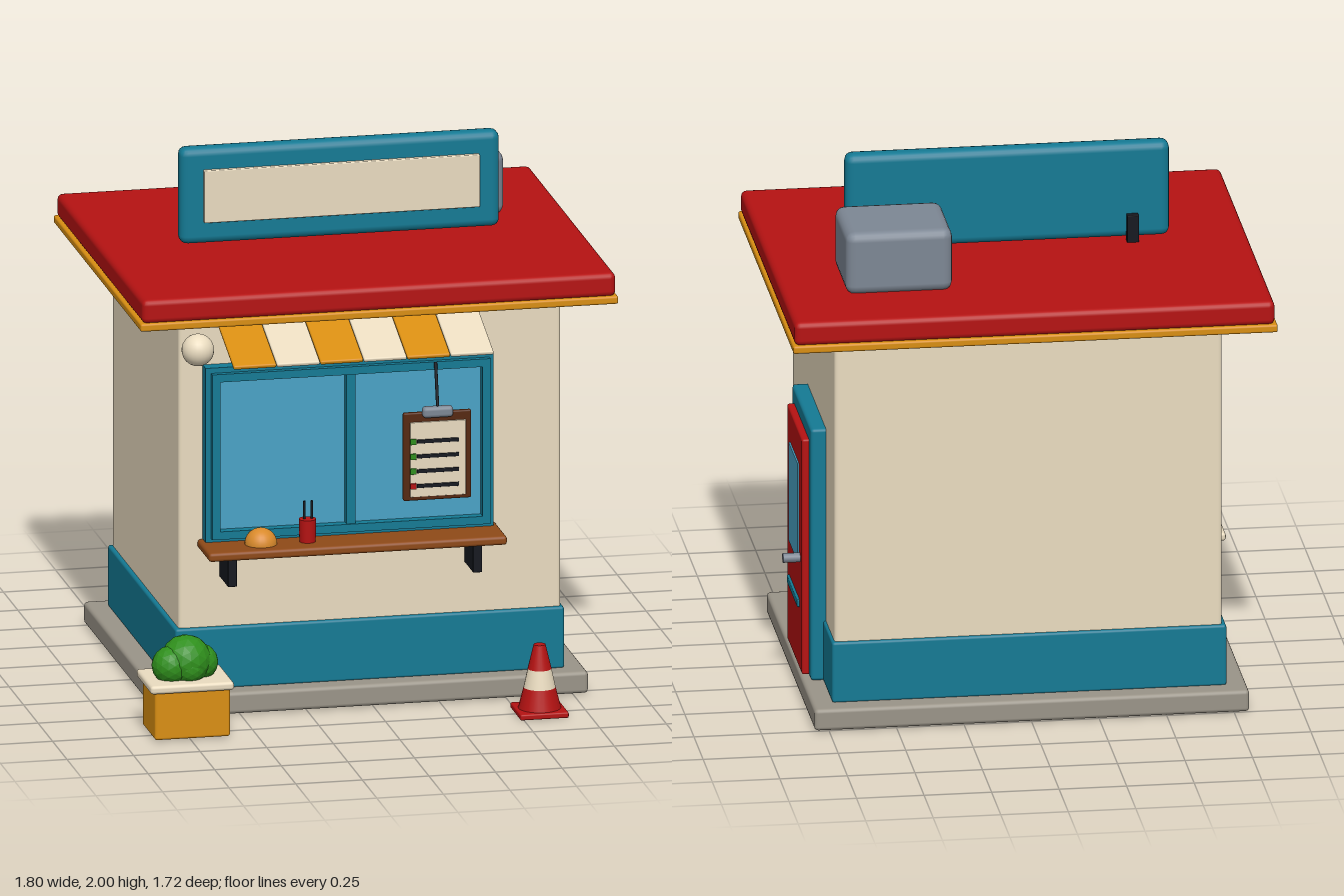
import * as THREE from 'three';
import { RoundedBoxGeometry } from 'three/addons/geometries/RoundedBoxGeometry.js';

const C = {
  red: 0xb51212, teal: 0x147a94, cream: 0xeadcc0, glass: 0x4aa3c6, gold: 0xd98e12, brown: 0x8f4a18,
  darkBrown: 0x56280f, dark: 0x15181f, stone: 0x9a9488, grey: 0x7d8794, green: 0x2f8f1c, bun: 0xd98a2b,
};
const mats = {};
function mat(name, flat = false) {
  const key = name + flat;
  return mats[key] ??= new THREE.MeshStandardMaterial({ color: C[name], flatShading: flat });
}

function add(parent, name, geometry, color, x = 0, y = 0, z = 0, flat = false) {
  const mesh = new THREE.Mesh(geometry, mat(color, flat));
  mesh.name = name;
  mesh.position.set(x, y, z);
  parent.add(mesh);
  return mesh;
}

// Softly rounded box given by its limits on each axis
function box(parent, name, color, [x0, x1], [y0, y1], [z0, z1], r = 0.008) {
  const w = x1 - x0, h = y1 - y0, d = z1 - z0;
  const radius = Math.min(r, Math.min(w, h, d) * 0.45);
  return add(parent, name, new RoundedBoxGeometry(w, h, d, 2, radius), color,
    (x0 + x1) / 2, (y0 + y1) / 2, (z0 + z1) / 2);
}

// Rectangular ring facing +z
function frame(parent, name, color, [x0, x1], [y0, y1], [z0, z1], border) {
  const rect = (P, a, b, c, d) => new P([[a, c], [b, c], [b, d], [a, d]].map((p) => new THREE.Vector2(...p)));
  const shape = rect(THREE.Shape, x0, x1, y0, y1);
  shape.holes.push(rect(THREE.Path, x0 + border, x1 - border, y0 + border, y1 - border));
  return add(parent, name, new THREE.ExtrudeGeometry(shape, { depth: z1 - z0, bevelEnabled: false }), color, 0, 0, z0);
}

// Thin round rod between two points
function rod(parent, name, color, a, b, r) {
  const p = new THREE.Vector3(...a), q = new THREE.Vector3(...b);
  const mesh = add(parent, name, new THREE.CylinderGeometry(r, r, p.distanceTo(q), 12), color);
  mesh.position.copy(p).lerp(q, 0.5);
  mesh.quaternion.setFromUnitVectors(new THREE.Vector3(0, 1, 0), q.sub(p).normalize());
  return mesh;
}

function group(parent, name) {
  const g = new THREE.Group();
  g.name = name;
  parent.add(g);
  return g;
}

export function createModel() {
  const root = new THREE.Group();
  root.name = 'kiosk';

  // Building shell
  const shell = group(root, 'building');
  box(shell, 'baseSlab', 'stone', [-0.805, 0.805], [0.005, 0.088], [-0.767, 0.555], 0.015);
  box(shell, 'walls', 'cream', [-0.715, 0.72], [0.08, 1.52], [-0.68, 0.468], 0.015);
  box(shell, 'skirting', 'teal', [-0.73, 0.73], [0.085, 0.32], [-0.692, 0.482], 0.01);
  box(shell, 'roofTrim', 'gold', [-0.897, 0.897], [1.51, 1.54], [-0.862, 0.65]);
  box(shell, 'roof', 'red', [-0.888, 0.89], [1.535, 1.626], [-0.853, 0.642], 0.022);

  // Roof sign and cooling unit
  const sign = group(root, 'roofSign');
  box(sign, 'signBoard', 'teal', [-0.6, 0.6], [1.635, 2], [-0.105, -0.026], 0.03);
  box(sign, 'signPanel', 'cream', [-0.515, 0.52], [1.72, 1.92], [-0.04, -0.008], 0.004);
  for (const x of [-0.46, 0.46]) box(sign, 'signPost', 'dark', [x - 0.022, x + 0.022], [1.61, 1.73], [-0.132, -0.09], 0.003);
  box(root, 'coolingUnit', 'grey', [0.265, 0.66], [1.62, 1.86], [-0.565, -0.225], 0.035);

  // Serving window
  const win = group(root, 'servingWindow');
  frame(win, 'outerFrame', 'teal', [-0.625, 0.455], [0.65, 1.32], [0.46, 0.52], 0.04);
  frame(win, 'sash', 'teal', [-0.605, 0.44], [0.67, 1.3], [0.46, 0.542], 0.03);
  box(win, 'glass', 'glass', [-0.59, 0.425], [0.68, 1.29], [0.46, 0.505], 0.002);
  box(win, 'mullion', 'teal', [-0.1, -0.065], [0.68, 1.29], [0.48, 0.535], 0.004);

  // Counter with brackets
  const counter = group(root, 'counter');
  box(counter, 'shelf', 'brown', [-0.645, 0.475], [0.622, 0.656], [0.46, 0.672], 0.012);
  for (const x of [-0.545, 0.375]) box(counter, 'bracket', 'dark', [x - 0.017, x + 0.017], [0.508, 0.625], [0.46, 0.615], 0.003);
  add(counter, 'bun', new THREE.SphereGeometry(0.06, 24, 12, 0, Math.PI * 2, 0, Math.PI / 2), 'bun', -0.43, 0.656, 0.575);
  add(counter, 'cup', new THREE.CylinderGeometry(0.032, 0.03, 0.088, 20), 'red', -0.256, 0.698, 0.58);
  for (const x of [-0.268, -0.24]) rod(counter, 'stick', 'dark', [x, 0.7, 0.58], [x, 0.81, 0.58], 0.005);

  // Hanging clipboard
  const clip = group(root, 'clipboard');
  box(clip, 'board', 'darkBrown', [0.105, 0.36], [0.785, 1.12], [0.558, 0.578], 0.006);
  box(clip, 'paper', 'cream', [0.13, 0.338], [0.8, 1.085], [0.574, 0.583], 0.002);
  box(clip, 'clasp', 'grey', [0.175, 0.29], [1.1, 1.142], [0.56, 0.597], 0.014);
  rod(clip, 'cord', 'dark', [0.233, 1.3, 0.542], [0.233, 1.13, 0.58], 0.006);
  for (let i = 0; i < 4; i++) {
    const y = 1.012 - i * 0.0565;
    box(clip, 'menuLine', 'dark', [0.155, 0.312], [y - 0.007, y + 0.007], [0.58, 0.588], 0.001);
    box(clip, 'menuBullet', i < 3 ? 'green' : 'red', [0.129, 0.151], [y - 0.011, y + 0.011], [0.58, 0.59], 0.001);
  }

  // Striped awning sloping forward
  const awning = group(root, 'awning');
  awning.position.set(0, 1.43, 0.63);
  awning.rotation.x = Math.atan2(0.09, 0.27);
  for (let i = 0; i < 6; i++) {
    const x = -0.573 + i * 0.163;
    box(awning, 'awningStripe', i % 2 ? 'cream' : 'gold', [x, x + 0.161], [-0.008, 0.008], [-0.143, 0.143], 0.006);
  }
  add(root, 'lamp', new THREE.SphereGeometry(0.06, 24, 16), 'cream', -0.66, 1.4, 0.545);
  rod(root, 'lampMount', 'cream', [-0.66, 1.4, 0.46], [-0.66, 1.4, 0.52], 0.025);

  // Side door
  const door = group(root, 'door');
  box(door, 'doorFrame', 'teal', [0.7, 0.776], [0.088, 1.066], [-0.447, 0.066], 0.012);
  box(door, 'doorLeaf', 'red', [0.74, 0.802], [0.095, 1.01], [-0.395, 0.012], 0.008);
  box(door, 'doorGlass', 'glass', [0.78, 0.808], [0.505, 0.89], [-0.31, -0.073], 0.003);
  box(door, 'letterSlot', 'teal', [0.78, 0.811], [0.335, 0.365], [-0.327, -0.048], 0.004);
  rod(door, 'handle', 'grey', [0.79, 0.532, -0.335], [0.865, 0.532, -0.335], 0.018);

  // Planter with bush
  const planter = group(root, 'planter');
  box(planter, 'planterBox', 'gold', [-0.885, -0.602], [0.005, 0.195], [0.62, 0.842], 0.01);
  box(planter, 'planterRim', 'cream', [-0.904, -0.59], [0.184, 0.216], [0.602, 0.858], 0.012);
  const leaves = [[-0.745, 0.275, 0.73, 0.094], [-0.803, 0.262, 0.745, 0.073], [-0.692, 0.262, 0.72, 0.069], [-0.74, 0.255, 0.762, 0.062]];
  for (const [x, y, z, r] of leaves) add(planter, 'bush', new THREE.IcosahedronGeometry(r, 2), 'green', x, y, z, true);

  // Traffic cone stacked from tapered bands
  const cone = group(root, 'trafficCone');
  cone.position.set(0.577, 0, 0.756);
  box(cone, 'coneFoot', 'red', [-0.091, 0.091], [0, 0.022], [-0.091, 0.091], 0.006);
  const rings = [[0.018, 0.08], [0.1, 0.059], [0.17, 0.044], [0.262, 0.022]];
  for (let i = 0; i < 3; i++) {
    const [y0, r0] = rings[i], [y1, r1] = rings[i + 1];
    add(cone, 'coneBand', new THREE.CylinderGeometry(r1, r0, y1 - y0, 24), i === 1 ? 'cream' : 'red', 0, (y0 + y1) / 2, 0);
  }
  return root;
}
